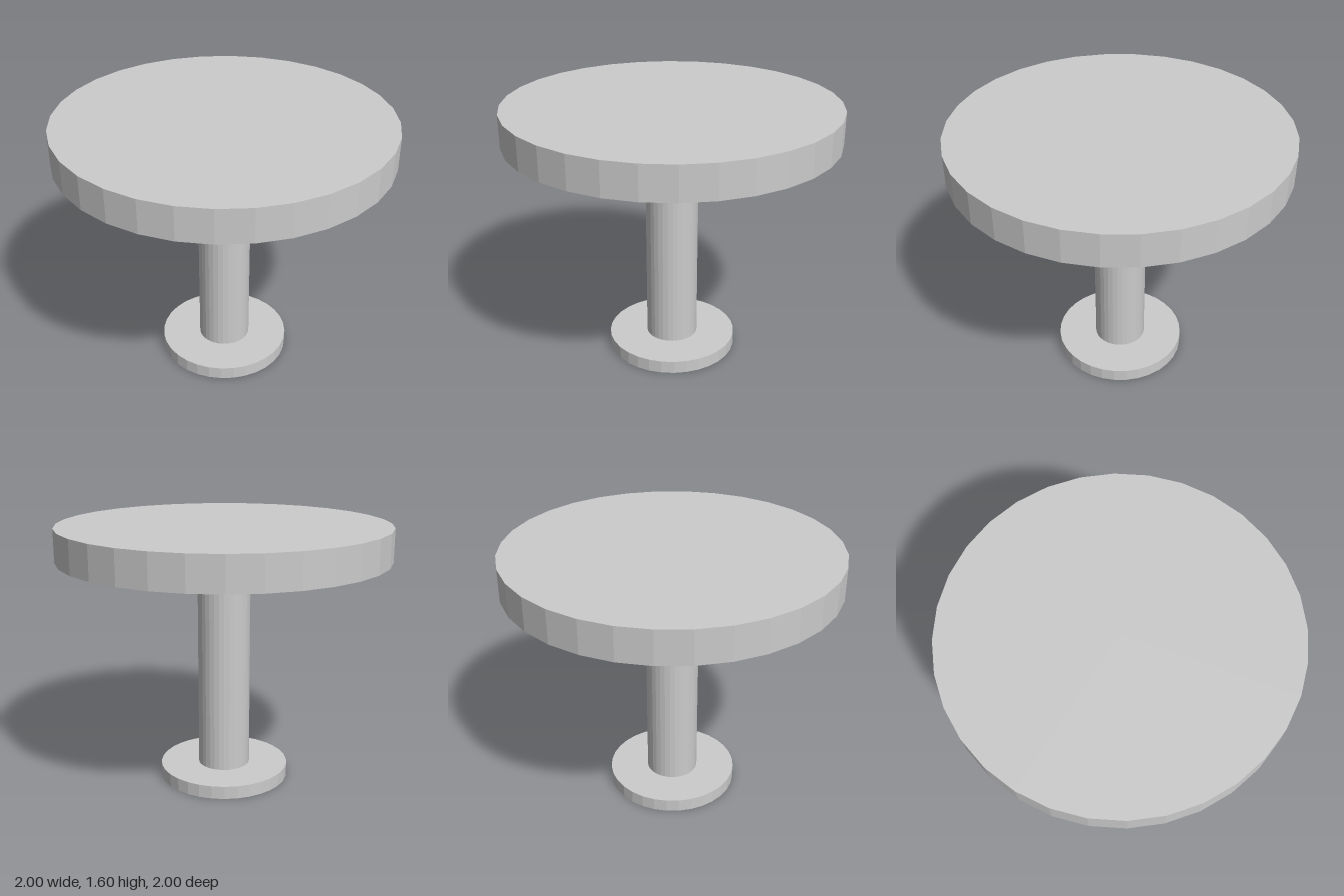
import * as THREE from 'three';

export function createModel() {
  const group = new THREE.Group();
  const material = new THREE.MeshStandardMaterial({ color: 0xcccccc, flatShading: true });

  // Upright faceted cylinder spanning bottom..top
  const addDisc = (name, radius, bottom, top) => {
    const mesh = new THREE.Mesh(new THREE.CylinderGeometry(radius, radius, top - bottom, 32), material);
    mesh.name = name;
    mesh.position.y = (bottom + top) / 2;
    group.add(mesh);
  };

  addDisc('base', 0.4, 0, 0.08);
  addDisc('column', 0.16, 0.08, 1.4);
  addDisc('tabletop', 1, 1.4, 1.6);

  return group;
}
